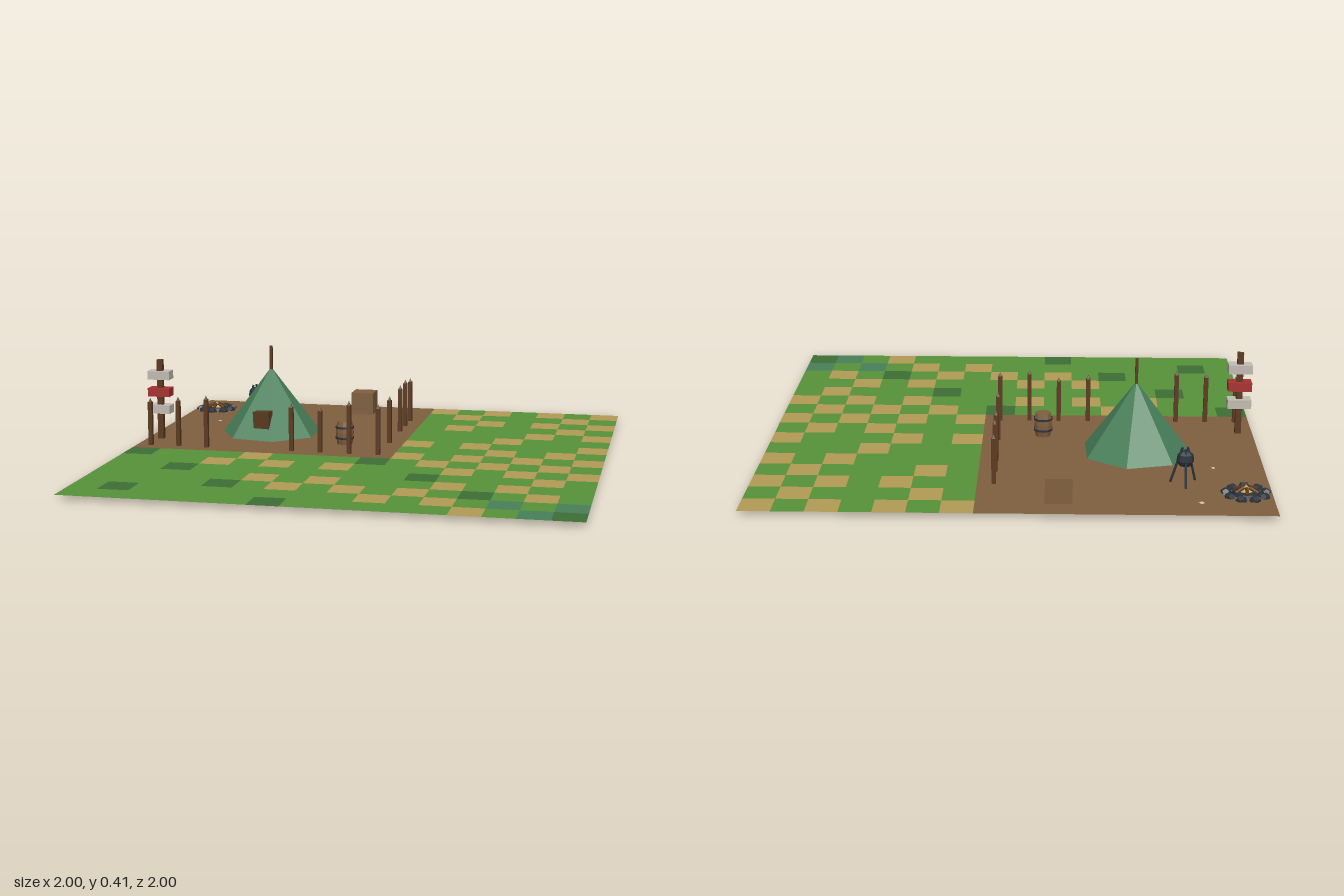
import * as THREE from 'three';
import { mergeGeometries } from 'three/addons/utils/BufferGeometryUtils.js';

const GROUND = 0.02;

function paint(name, color) {
  const m = new THREE.MeshStandardMaterial({ color, flatShading: true, side: THREE.DoubleSide });
  m.name = name;
  return m;
}

export function createModel() {
  const dirt = paint('dirt brown', 0x80603f);
  const grass = paint('grass green', 0x58933a);
  const straw = paint('straw tan', 0xb39c55);
  const shrub = paint('dark green', 0x3f6e36);
  const canvas = paint('canvas green', 0x48805a);
  const wood = paint('dark wood', 0x5c3a20);
  const iron = paint('iron grey', 0x2c343c);
  const pale = paint('pale grey', 0xc2bdb4);
  const red = paint('sign red', 0xa83230);
  const gold = paint('ember gold', 0xc9a53c);

  const model = new THREE.Group();
  model.name = 'camp';

  const add = (parent, name, geometry, material, x = 0, y = 0, z = 0) => {
    const mesh = new THREE.Mesh(geometry, material);
    mesh.name = name;
    mesh.position.set(x, y, z);
    parent.add(mesh);
    return mesh;
  };
  const group = (name, x, z) => {
    const g = new THREE.Group();
    g.name = name;
    g.position.set(x, GROUND, z);
    model.add(g);
    return g;
  };
  // Thin rod between two points
  const rod = (parent, name, a, b, r, material) => {
    const d = b.clone().sub(a);
    const mesh = add(parent, name, new THREE.CylinderGeometry(r, r, d.length(), 6), material);
    mesh.position.copy(a).addScaledVector(d, 0.5);
    mesh.quaternion.setFromUnitVectors(new THREE.Vector3(0, 1, 0), d.normalize());
  };

  // Ground: 16 x 16 tiles; columns of the special tiles in each row
  const strawTiles = [[9, 11, 13, 15], [10, 14], [11, 13, 15], [10, 14], [13, 15], [12],
    [9, 11, 15], [12, 14], [9, 11, 13, 15], [4, 10, 12, 14], [3, 5, 7, 11, 13, 15], [14],
    [5, 7, 11, 13], [6, 8, 10, 14], [9, 11], [12]];
  const shrubTiles = { 9: [0, 8], 11: [2, 10], 13: [4, 12], 14: [1], 15: [6, 15] };
  const poolTiles = { 14: [13, 15], 15: [14] };
  const tiles = new Map([[dirt, []], [grass, []], [straw, []], [shrub, []], [canvas, []]]);
  for (let r = 0; r < 16; r++) {
    for (let c = 0; c < 16; c++) {
      let m = grass;
      if (r < 9 && c < 9) m = dirt;
      else if (strawTiles[r].includes(c)) m = straw;
      else if (shrubTiles[r]?.includes(c)) m = shrub;
      else if (poolTiles[r]?.includes(c)) m = canvas;
      const tile = new THREE.PlaneGeometry(0.125, 0.125).rotateX(-Math.PI / 2);
      tiles.get(m).push(tile.translate(-0.9375 + c * 0.125, GROUND, -0.9375 + r * 0.125));
    }
  }
  for (const [m, list] of tiles) add(model, m.name + ' ground', mergeGeometries(list), m);

  // Tent with centre pole and a door flap
  const tent = group('tent', -0.5, -0.31);
  add(tent, 'tentCover', new THREE.ConeGeometry(0.222, 0.297, 7), canvas, 0, 0.1465, 0).rotation.y = 0.257;
  add(tent, 'tentPole', new THREE.BoxGeometry(0.012, 0.2, 0.012), wood, 0, 0.29, 0);
  add(tent, 'doorFlap', new THREE.BoxGeometry(0.075, 0.085, 0.045), wood, 0, 0.078, 0.147)
    .rotation.set(0, -0.19, 0.05);
  add(tent, 'floorMat', new THREE.CylinderGeometry(0.03, 0.03, 0.001, 6), pale, 0, -0.003, 0);

  // Fence stakes with pointed tips: x, z, top height
  const stakes = [[-0.94, 0.06, 0.225], [-0.815, 0.06, 0.235], [-0.69, 0.06, 0.245], [-0.315, 0.06, 0.225],
    [-0.19, 0.06, 0.215], [-0.065, 0.06, 0.245], [0.06, 0.06, 0.235], [0.06, -0.19, 0.225],
    [0.06, -0.44, 0.23], [0.06, -0.565, 0.235], [0.06, -0.69, 0.22]];
  for (const [x, z, top] of stakes) {
    const stake = group('fenceStake', x, z);
    const h = top - GROUND - 0.018;
    add(stake, 'stakeBody', new THREE.BoxGeometry(0.018, h, 0.018), wood, 0, h / 2, 0);
    add(stake, 'stakeTip', new THREE.ConeGeometry(0.009, 0.018, 4), wood, 0, h + 0.009, 0).rotation.y = Math.PI / 4;
  }

  // Signpost with three boards
  const sign = group('signpost', -0.94, -0.08);
  add(sign, 'signPole', new THREE.BoxGeometry(0.025, 0.35, 0.025), wood, 0, 0.175, 0);
  [[0.133, pale], [0.208, red], [0.283, pale]].forEach(([y, m]) =>
    add(sign, 'signBoard', new THREE.BoxGeometry(0.098, 0.037, 0.06), m, 0, y, 0));

  // Crate
  const crate = group('crate', -0.19, -0.85);
  add(crate, 'crateBox', new THREE.BoxGeometry(0.104, 0.1, 0.104), dirt, 0, 0.05, 0);

  // Barrel with iron hoops
  const barrel = group('barrel', -0.125, -0.13);
  const profile = [[0, 0], [0.032, 0], [0.038, 0.03], [0.039, 0.05], [0.038, 0.07], [0.032, 0.1], [0, 0.1]];
  add(barrel, 'barrelBody', new THREE.LatheGeometry(profile.map(p => new THREE.Vector2(...p)), 10), dirt);
  for (const y of [0.028, 0.074]) {
    add(barrel, 'barrelHoop', new THREE.CylinderGeometry(0.0405, 0.0405, 0.009, 10, 1, true), iron, 0, y, 0);
  }

  // Cooking pot on a tripod
  const cooker = group('cookingTripod', -0.675, -0.675);
  const pot = [[0, 0.07], [0.024, 0.075], [0.034, 0.095], [0.03, 0.12], [0.016, 0.132], [0, 0.134]];
  add(cooker, 'pot', new THREE.LatheGeometry(pot.map(p => new THREE.Vector2(...p)), 8), iron);
  for (const a of [Math.PI, 1.25, -0.85]) {
    const s = Math.sin(a), c = Math.cos(a);
    rod(cooker, 'tripodLeg', new THREE.Vector3(s * 0.057, 0, c * 0.057),
      new THREE.Vector3(s * 0.012, 0.145, c * 0.012), 0.005, iron);
  }

  // Campfire: ring of stones, leaning logs and embers
  const fire = group('campfire', -0.9, -0.78);
  for (let i = 0; i < 9; i++) {
    const a = i / 9 * Math.PI * 2;
    const stone = add(fire, 'fireStone', new THREE.DodecahedronGeometry(0.022), iron,
      Math.sin(a) * 0.076, 0, Math.cos(a) * 0.076);
    stone.rotation.y = a;
    stone.scale.set(1.05, 0.9, 1);
  }
  add(fire, 'ashBed', new THREE.CylinderGeometry(0.052, 0.056, 0.012, 9), iron, 0, 0.006, 0);
  for (let i = 0; i < 6; i++) {
    const a = i / 6 * Math.PI * 2, s = Math.sin(a), c = Math.cos(a);
    rod(fire, 'log', new THREE.Vector3(s * 0.05, 0.012, c * 0.05),
      new THREE.Vector3(s * 0.012, 0.027, c * 0.012), 0.007, wood);
  }
  add(fire, 'embers', new THREE.ConeGeometry(0.026, 0.024, 6), gold, 0, 0.024, 0);

  // Loose pebbles
  [[-0.725, -0.875, 0.013], [-0.8, -0.505, 0.01]].forEach(([x, z, r]) =>
    add(model, 'pebble', new THREE.OctahedronGeometry(r), pale, x, GROUND, z).scale.y = 0.5);

  return model;
}
